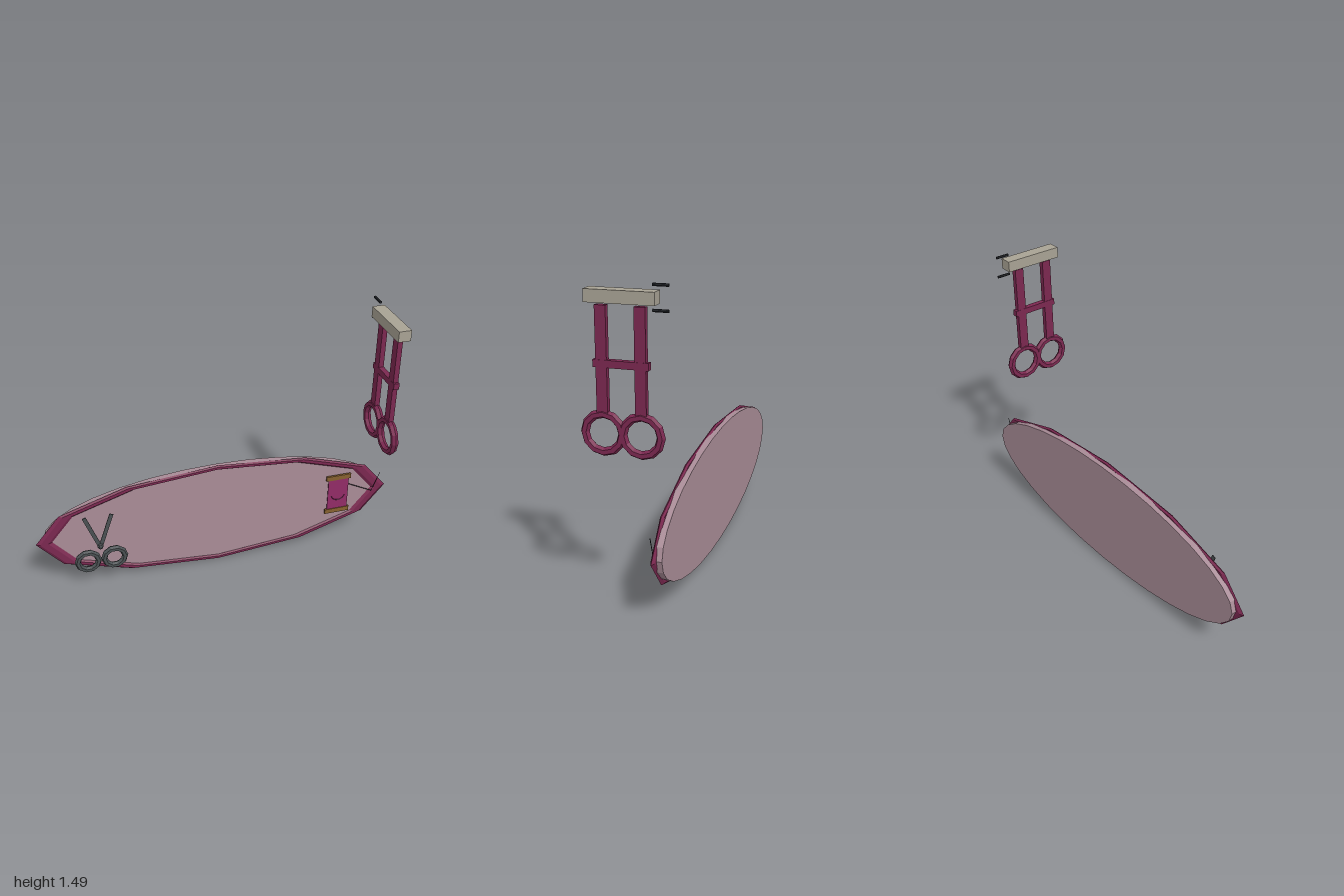
import * as THREE from 'three';

const mat = (color) => new THREE.MeshStandardMaterial({ color, flatShading: true });
const plum = mat(0x7b2850), mauve = mat(0xa98c97), iron = mat(0x4a5052), stone = mat(0xa8a294);
const brown = mat(0x86602f), magenta = mat(0x922c66), black = mat(0x22252a), ink = mat(0x5a1c40);

export function createModel() {
  const model = new THREE.Group();

  const add = (parent, name, geometry, material, x, y, z) => {
    const mesh = new THREE.Mesh(geometry, material);
    mesh.name = name;
    mesh.position.set(x, y, z);
    parent.add(mesh);
    return mesh;
  };
  const group = (name) => {
    const g = new THREE.Group();
    g.name = name;
    model.add(g);
    return g;
  };
  const box = (w, h, d) => new THREE.BoxGeometry(w, h, d);

  // Oval plate: faceted rim around a flat disc
  const plate = group('plate');
  add(plate, 'rim', new THREE.TorusGeometry(0.957, 0.043, 6, 12), plum, 0, 0.325, -0.165)
    .scale.set(1, 0.318, 0.26);
  const disc = new THREE.CylinderGeometry(1, 1, 0.034, 32).rotateX(Math.PI / 2).scale(0.957, 0.306, 1);
  add(plate, 'disc', disc, mauve, 0, 0.325, -0.183);

  // Scissors floating in front of the plate
  const scissors = group('scissors');
  for (const side of [-1, 1]) {
    add(scissors, 'fingerRing', new THREE.TorusGeometry(0.057, 0.017, 6, 10), iron,
      -0.668 + side * 0.072, 0.194, -0.117);
    add(scissors, 'blade', box(0.021, 0.226, 0.005), iron,
      -0.668 + side * 0.035, 0.375, -0.115 + side * 0.001).rotation.z = -side * 0.34;
  }
  add(scissors, 'pivot', new THREE.SphereGeometry(0.017, 6, 4), iron, -0.668, 0.285, -0.11);

  // Scroll with two rods, a drawn arc and a loose thread
  const scroll = group('scroll');
  for (const y of [0.216, 0.441]) add(scroll, 'rod', box(0.145, 0.028, 0.012), brown, 0.703, y, -0.148);
  add(scroll, 'sheet', box(0.122, 0.2, 0.004), magenta, 0.704, 0.328, -0.148);
  const arc = new THREE.TorusGeometry(0.042, 0.002, 4, 10, Math.PI * 0.8).rotateZ(Math.PI * 1.1);
  add(scroll, 'drawnArc', arc, ink, 0.705, 0.33, -0.145);
  const threadPoints = [[0.765, 0.385], [0.912, 0.31], [0.957, 0.43]]
    .map(([x, y]) => new THREE.Vector3(x, y, -0.147));
  for (let i = 0; i < 2; i++) {
    const line = new THREE.LineCurve3(threadPoints[i], threadPoints[i + 1]);
    add(scroll, 'thread', new THREE.TubeGeometry(line, 1, 0.002, 4), black, 0, 0, 0);
  }

  // Hanging ladder frame with a ring under each post
  const hanger = group('hanger');
  const hx = 0.845;
  for (const side of [-1, 1]) {
    const z = 0.01 + side * 0.087;
    add(hanger, 'post', box(0.027, 0.465, 0.05), plum, hx, 1.163, z);
    const ring = new THREE.TorusGeometry(0.086, 0.02, 6, 12).rotateY(Math.PI / 2);
    add(hanger, 'ring', ring, plum, hx, 0.84, z);
  }
  add(hanger, 'crossbar', box(0.03, 0.033, 0.25), plum, hx, 1.147, 0.01);
  add(hanger, 'topBeam', box(0.066, 0.056, 0.312), stone, hx, 1.435, 0.006);
  for (const y of [1.383, 1.489]) {
    const pin = new THREE.CylinderGeometry(0.007, 0.007, 0.07, 8).rotateX(Math.PI / 2);
    add(hanger, 'pin', pin, black, hx, y, -0.165);
  }

  return model;
}
